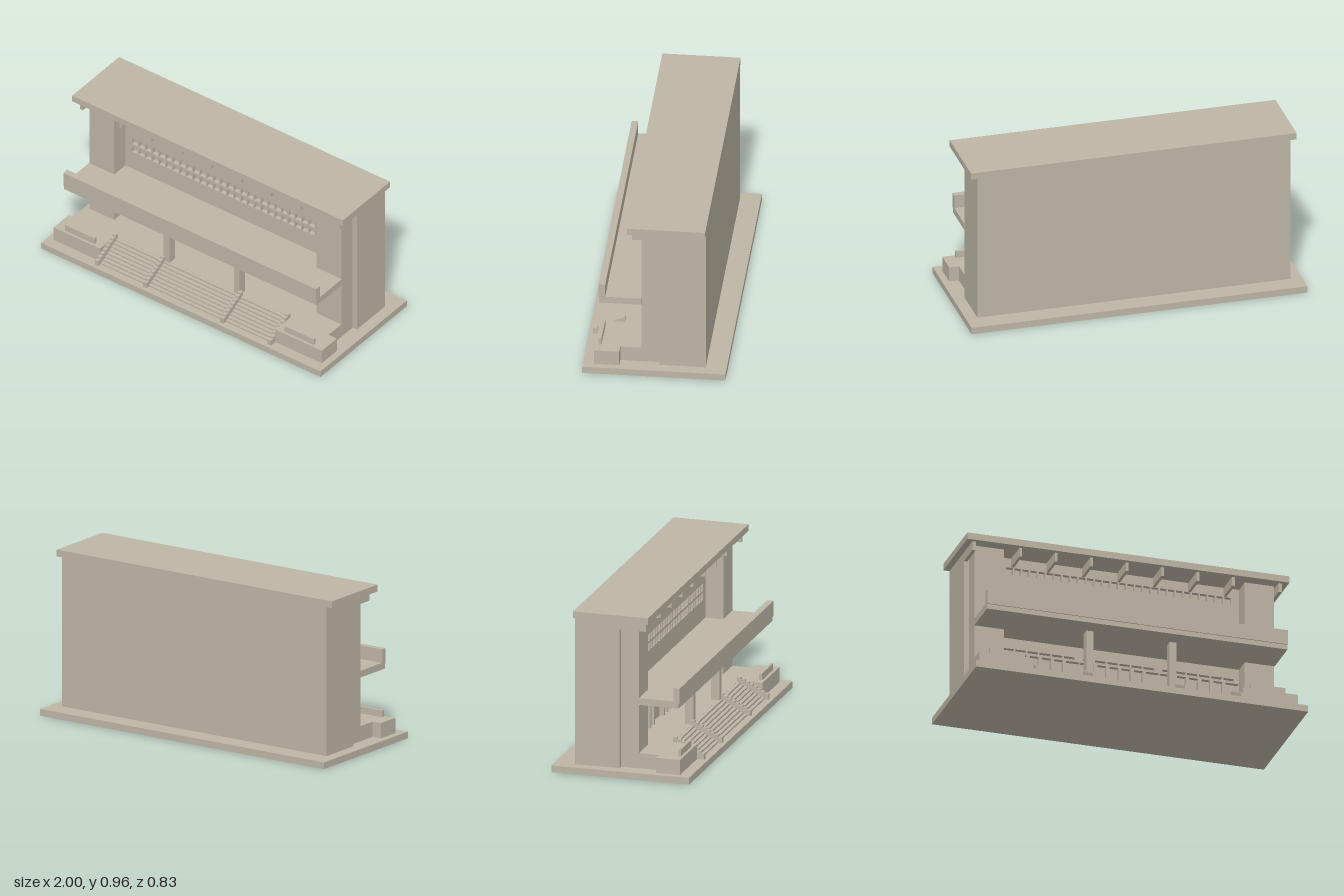
import * as THREE from 'three';

export function createModel() {
  const model = new THREE.Group();
  const stone = new THREE.MeshStandardMaterial({ color: 0xbdb5a5 });
  stone.name = 'warm grey stone';

  // box given by its limits on each axis
  const box = (name, x0, x1, y0, y1, z0, z1) => {
    const mesh = new THREE.Mesh(new THREE.BoxGeometry(x1 - x0, y1 - y0, z1 - z0), stone);
    mesh.position.set((x0 + x1) / 2, (y0 + y1) / 2, (z0 + z1) / 2);
    mesh.name = name;
    model.add(mesh);
  };
  const pair = (name, x0, x1, ...rest) => {
    box(name + 'Left', x0, x1, ...rest);
    box(name + 'Right', -x1, -x0, ...rest);
  };
  const rect = (target, x0, x1, y0, y1) => target
    .moveTo(x0, y0).lineTo(x1, y0).lineTo(x1, y1).lineTo(x0, y1).closePath();

  // ground slab, main body and roof
  box('groundSlab', -1, 1, 0, 0.04, -0.413, 0.413);
  box('mainBody', -0.932, 0.932, 0.04, 0.925, -0.293, -0.05);
  box('roof', -0.97, 0.97, 0.925, 0.965, -0.293, 0.158);

  // front wall pierced by rows of small square windows
  const wall = rect(new THREE.Shape(), -0.932, 0.932, 0.04, 0.925);
  const addHole = (...r) => wall.holes.push(rect(new THREE.Path(), ...r));
  for (const y of [0.58, 0.637, 0.825]) {
    for (let i = 0; i < 28; i++) {
      const x = (i - 13.5) * 0.0487;
      addHole(x - 0.02, x + 0.02, y, y + 0.042);
    }
  }
  // clerestory windows above the entrance doors
  const bays = [-0.48, 0, 0.48];
  for (const bay of bays) {
    for (let i = 0; i < 6; i++) {
      const x = bay + (i - 2.5) * 0.073;
      addHole(x - 0.032, x + 0.032, 0.327, 0.355);
    }
  }
  const wallMesh = new THREE.Mesh(
    new THREE.ExtrudeGeometry(wall, { depth: 0.025, bevelEnabled: false }), stone);
  wallMesh.position.z = -0.05;
  wallMesh.name = 'windowWall';
  model.add(wallMesh);

  // entrance posts and lintels
  for (const bay of bays) {
    box('entranceLintel', bay - 0.235, bay + 0.235, 0.315, 0.327, -0.025, 0);
    for (let i = -2; i <= 2; i++) {
      const x = bay + i * 0.073;
      box('entrancePost', x - 0.01, x + 0.01, 0.13, 0.315, -0.025, 0);
    }
  }

  // corner piers and roof brackets
  pair('cornerPier', 0.725, 0.902, 0.04, 0.925, -0.025, 0.082);
  pair('endBracket', 0.912, 0.932, 0.87, 0.925, -0.025, 0.133);
  for (let i = -3; i <= 3; i++) {
    const x = i * 0.2135;
    box('roofBracket', x - 0.008, x + 0.008, 0.87, 0.925, -0.025, 0.133);
  }

  // balcony canopy with its parapet and columns
  box('balconyFloor', -0.905, 0.905, 0.42, 0.46, 0.082, 0.32);
  box('balconyInnerFloor', -0.725, 0.725, 0.42, 0.46, -0.025, 0.082);
  box('balconyParapet', -0.905, 0.905, 0.45, 0.54, 0.29, 0.328);
  box('balconyFascia', -0.905, 0.905, 0.42, 0.45, 0.285, 0.322);
  pair('column', 0.23, 0.272, 0.13, 0.42, 0.163, 0.213);

  // podium and the planter blocks beside the stairs
  box('innerPodium', -0.725, 0.725, 0.04, 0.13, -0.025, 0.082);
  box('podium', -0.902, 0.902, 0.04, 0.13, 0.082, 0.203);
  pair('sideBlock', 0.63, 0.96, 0.04, 0.13, 0.203, 0.347);
  pair('blockParapet', 0.68, 0.89, 0.13, 0.17, 0.312, 0.33);

  // front stairs
  for (let i = 0; i < 8; i++) {
    box('stair', -0.63, 0.63, 0.04, 0.05 + i * 0.0113, 0.203, 0.367 - i * 0.0205);
  }

  // stepped stair rails
  const rail = new THREE.Shape().moveTo(0.203, 0.04).lineTo(0.39, 0.04);
  for (let i = 0; i < 8; i++) {
    const z = 0.39 - i * 0.0234, y = 0.075 + i * 0.012;
    rail.lineTo(z, y).lineTo(z - 0.0234, y);
  }
  rail.closePath();
  const railGeometry = new THREE.ExtrudeGeometry(rail, { depth: 0.024, bevelEnabled: false });
  railGeometry.rotateY(-Math.PI / 2);
  for (const x of [-0.62, -0.276, 0.276, 0.616]) {
    const mesh = new THREE.Mesh(railGeometry, stone);
    mesh.position.x = x + 0.012;
    mesh.name = 'stairRail';
    model.add(mesh);
  }
  return model;
}
